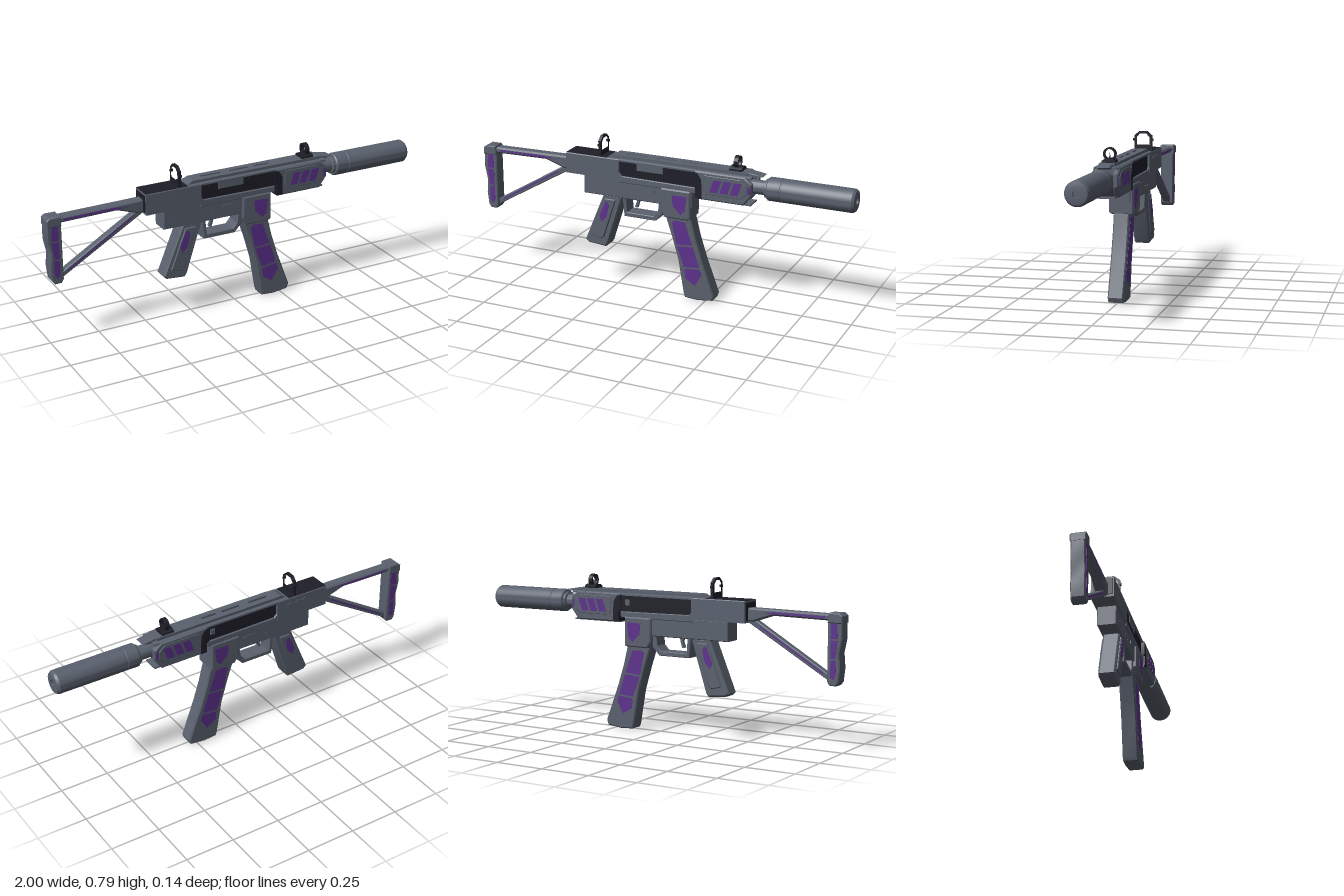
import * as THREE from 'three';
import { toCreasedNormals } from 'three/addons/utils/BufferGeometryUtils.js';

const material = (name, color) => Object.assign(new THREE.MeshStandardMaterial({ color }), { name });

export function createModel() {
  const model = new THREE.Group();
  model.name = 'model';
  const grey = material('slate grey', 0x5a616e);
  const dark = material('near black', 0x1e1e28);
  const purple = material('purple', 0x5e318e);

  const add = (name, geometry, mat, x = 0, y = 0, z = 0) => {
    const mesh = new THREE.Mesh(geometry, mat);
    mesh.name = name;
    mesh.position.set(x, y, z);
    model.add(mesh);
    return mesh;
  };
  const outline = (pts, holes = []) => {
    const vectors = (list) => list.map(([x, y]) => new THREE.Vector2(x, y));
    const shape = new THREE.Shape(vectors(pts));
    holes.forEach((h) => shape.holes.push(new THREE.Path(vectors(h))));
    return shape;
  };
  // Extrusion of a shape, centred on its own depth, with a small chamfer
  const extrude = (shape, depth, bevel = 0) => {
    const g = new THREE.ExtrudeGeometry(shape, {
      depth: depth - 2 * bevel, bevelEnabled: bevel > 0, bevelSize: bevel,
      bevelOffset: -bevel, bevelThickness: bevel, bevelSegments: 1, curveSegments: 24,
    });
    g.translate(0, 0, bevel - depth / 2);
    return toCreasedNormals(g, 0.5);
  };
  // Side profile, symmetric about z = 0
  const slab = (name, pts, half, mat, bevel = 0, holes = []) =>
    add(name, extrude(outline(pts, holes), half * 2, bevel), mat);
  // Plate on one side (s = 1 front, -1 back), or the same plate on both
  const sidePlate = (name, pts, z, thick, mat, s, bevel = 0) =>
    add(name, extrude(outline(pts), thick, bevel), mat, 0, 0, s * (z - thick / 2));
  const sidePlates = (name, pts, z, thick, mat, bevel = 0) => {
    sidePlate(name + 'Front', pts, z, thick, mat, 1, bevel);
    sidePlate(name + 'Back', pts, z, thick, mat, -1, bevel);
  };
  // Cross-section given as half outline [z, y] from bottom to top, run along x
  const run = (name, half, x0, x1, mat) => {
    const pts = [...half, ...half.slice().reverse().map(([z, y]) => [-z, y])];
    return add(name, extrude(outline(pts), x1 - x0).rotateY(Math.PI / 2), mat, (x0 + x1) / 2);
  };
  const box = (name, x0, x1, y0, y1, z0, z1, mat) =>
    add(name, new THREE.BoxGeometry(x1 - x0, y1 - y0, z1 - z0), mat, (x0 + x1) / 2, (y0 + y1) / 2, (z0 + z1) / 2);
  const lathe = (name, profile, mat) => {
    const g = new THREE.LatheGeometry(profile.map(([r, x]) => new THREE.Vector2(r, x)), 40);
    return add(name, toCreasedNormals(g, 0.5).rotateZ(-Math.PI / 2), mat, 0, 0.632, 0);
  };

  // Shoulder stock: butt, top tube and diagonal strut
  slab('buttPlate', [[-0.997, 0.64], [-0.98, 0.655], [-0.935, 0.658], [-0.927, 0.645], [-0.927, 0.335],
    [-0.938, 0.318], [-0.972, 0.317], [-0.985, 0.335], [-0.992, 0.40], [-0.986, 0.47], [-1, 0.54]], 0.034, grey, 0.005);
  slab('buttCap', [[-1, 0.61], [-1, 0.645], [-0.985, 0.657], [-0.93, 0.657], [-0.927, 0.61]], 0.038, grey, 0.004);
  const buttPanels = [
    [[-0.976, 0.605], [-0.958, 0.62], [-0.944, 0.608], [-0.944, 0.538], [-0.98, 0.538]],
    [[-0.98, 0.53], [-0.944, 0.53], [-0.944, 0.443], [-0.97, 0.448]],
    [[-0.97, 0.44], [-0.944, 0.435], [-0.944, 0.36], [-0.96, 0.345], [-0.973, 0.37]],
  ];
  buttPanels.forEach((p, i) => sidePlates('buttInlay' + i, p, 0.035, 0.005, purple));
  slab('stockTube', [[-0.94, 0.62], [-0.94, 0.65], [-0.49, 0.656], [-0.49, 0.59], [-0.535, 0.59], [-0.64, 0.625]], 0.028, grey, 0.008);
  sidePlates('tubeInlay', [[-0.91, 0.631], [-0.91, 0.640], [-0.64, 0.643], [-0.58, 0.630], [-0.62, 0.633]], 0.029, 0.005, purple);
  slab('stockStrut', [[-0.945, 0.328], [-0.945, 0.358], [-0.54, 0.60], [-0.50, 0.60], [-0.50, 0.588]], 0.019, grey, 0.004);
  sidePlates('strutInlay', [[-0.90, 0.367], [-0.90, 0.375], [-0.57, 0.572], [-0.57, 0.564]], 0.020, 0.005, purple);

  // Upper receiver: rear housing, dark bolt channel, sill and roof
  run('rearHousing', [[0.057, 0.583], [0.057, 0.686], [0.054, 0.69]], -0.505, -0.21, grey);
  box('rearTopPlate', -0.504, -0.28, 0.685, 0.691, -0.054, 0.054, dark);
  box('rearEndPlate', -0.509, -0.503, 0.595, 0.68, -0.048, 0.048, dark);
  run('boltChannel', [[0.046, 0.575], [0.046, 0.685]], -0.22, 0.44, dark);
  slab('receiverSill', [[-0.215, 0.57], [-0.215, 0.625], [-0.195, 0.604], [0.2, 0.600], [0.2, 0.57]], 0.055, grey, 0.003);
  run('receiverRoof', [[0.056, 0.68], [0.056, 0.688], [0.05, 0.692]], -0.215, 0.49, grey);
  slab('roofRearRamp', [[-0.275, 0.688], [-0.245, 0.706], [-0.2, 0.706], [-0.2, 0.688]], 0.036, grey);
  slab('roofNose', [[0.46, 0.706], [0.50, 0.701], [0.54, 0.694], [0.50, 0.682], [0.46, 0.68]], 0.03, grey, 0.003);

  // Roof rail with purple strips deep in its slots
  const slots = [[-0.185, -0.075], [-0.025, 0.08], [0.11, 0.195]];
  const rail = outline([[-0.21, -0.038], [0.465, -0.038], [0.465, 0.038], [-0.21, 0.038]],
    slots.map(([a, b]) => [[a, -0.007], [b, -0.007], [b, 0.007], [a, 0.007]]));
  add('roofRail', extrude(rail, 0.015).rotateX(Math.PI / 2), grey, 0, 0.6985, 0);
  for (const [a, b] of slots) box('roofInlay', a, b, 0.688, 0.694, -0.007, 0.007, purple);

  // Side details of the receiver
  sidePlate('ejectionCover', [[-0.115, 0.643], [-0.115, 0.68], [0.025, 0.68], [0.025, 0.643]], 0.05, 0.008, grey, 1);
  sidePlate('boltKnob', [[0.15, 0.63], [0.15, 0.66], [0.175, 0.66], [0.175, 0.63]], 0.052, 0.009, grey, -1, 0.002);
  for (let i = 0; i < 3; i++) {
    const x = -0.38 + i * 0.042;
    sidePlates('vent' + i, [[x, 0.665], [x + 0.03, 0.645], [x + 0.034, 0.65], [x + 0.006, 0.67]], 0.0585, 0.004, grey);
  }

  // Handguard shells with raised frames and inlays
  const guard = [[0.20, 0.69], [0.455, 0.69], [0.495, 0.66], [0.495, 0.60], [0.455, 0.548], [0.215, 0.548],
    [0.215, 0.59], [0.20, 0.62]];
  sidePlates('handguardShell', guard, 0.064, 0.028, grey, 0.006);
  sidePlates('handguardRearRib', [[0.192, 0.682], [0.215, 0.68], [0.236, 0.65], [0.24, 0.552], [0.205, 0.552],
    [0.205, 0.605], [0.192, 0.61]], 0.065, 0.006, dark);
  sidePlates('handguardFrame', [[0.25, 0.675], [0.44, 0.675], [0.472, 0.645], [0.472, 0.605], [0.44, 0.58],
    [0.262, 0.58], [0.25, 0.60]], 0.067, 0.008, grey, 0.002);
  for (let i = 0; i < 3; i++) {
    const x = 0.28 + i * 0.053;
    sidePlates('handguardInlay' + i, [[x, 0.594], [x + 0.022, 0.657], [x + 0.062, 0.657], [x + 0.04, 0.594]], 0.068, 0.005, purple);
  }
  sidePlates('handguardTipInlay', [[0.475, 0.605], [0.475, 0.65], [0.488, 0.643], [0.488, 0.61]], 0.065, 0.004, purple);
  run('handguardCore', [[0.04, 0.549], [0.045, 0.56], [0.045, 0.69]], 0.21, 0.45, dark);
  box('handguardFloor', 0.215, 0.485, 0.543, 0.55, -0.042, 0.042, grey);
  box('barrelBlock', 0.44, 0.462, 0.60, 0.685, -0.04, 0.04, grey);

  // Barrel and suppressor
  lathe('barrel', [[0, 0.44], [0.035, 0.44], [0.035, 0.545], [0.046, 0.55], [0.046, 0.57], [0, 0.57]], grey);
  lathe('suppressor', [[0, 0.562], [0.053, 0.562], [0.058, 0.568], [0.058, 0.63], [0.056, 0.632], [0.056, 0.636],
    [0.058, 0.638], [0.058, 0.985], [0.05, 0.997], [0.036, 1], [0.017, 1], [0.017, 0.985], [0, 0.985]], grey);

  // Lower receiver, trigger guard and trigger
  slab('lowerReceiver', [[-0.41, 0.486], [-0.41, 0.585], [0.18, 0.585], [0.18, 0.486]], 0.048, grey, 0.004);
  slab('triggerGuard', [[-0.20, 0.495], [-0.19, 0.390], [-0.018, 0.390], [0.02, 0.43], [0.03, 0.495]], 0.04, grey, 0.003,
    [[[-0.18, 0.488], [-0.175, 0.412], [-0.03, 0.412], [-0.006, 0.438], [0, 0.488]]]);
  slab('trigger', [[-0.145, 0.495], [-0.135, 0.465], [-0.147, 0.435], [-0.132, 0.432], [-0.122, 0.465], [-0.118, 0.495]], 0.008, grey);
  sidePlates('selector', [[-0.09, 0.535], [-0.09, 0.552], [-0.02, 0.552], [-0.02, 0.535]], 0.051, 0.007, grey);
  for (const x of [-0.36, -0.21, -0.15]) {
    const pin = add('pin', new THREE.CylinderGeometry(0.005, 0.005, 0.1, 12), grey, x, 0.525, 0);
    pin.rotation.x = Math.PI / 2;
  }

  // Pistol grip
  slab('grip', [[-0.305, 0.49], [-0.20, 0.49], [-0.285, 0.225], [-0.297, 0.208], [-0.395, 0.216], [-0.412, 0.232]], 0.041, grey, 0.007);
  sidePlates('gripPanel', [[-0.295, 0.47], [-0.235, 0.47], [-0.303, 0.262], [-0.32, 0.25], [-0.375, 0.262]], 0.049, 0.012, grey, 0.004);
  sidePlates('gripInlay', [[-0.288, 0.460], [-0.270, 0.438], [-0.285, 0.376], [-0.313, 0.345], [-0.326, 0.378]], 0.050, 0.005, purple);

  // Magazine well and curved magazine
  slab('magazineWell', [[0.018, 0.575], [0.175, 0.575], [0.175, 0.43], [0.16, 0.425], [0.04, 0.425], [0.018, 0.46]], 0.061, grey, 0.006);
  sidePlates('wellInlay', [[0.079, 0.547], [0.158, 0.547], [0.149, 0.472], [0.126, 0.450], [0.085, 0.492]], 0.062, 0.005, purple);
  slab('magazine', [[0.03, 0.44], [0.168, 0.44], [0.195, 0.33], [0.23, 0.22], [0.299, 0.035], [0.29, 0.01],
    [0.21, 0], [0.142, 0.005], [0.135, 0.025], [0.105, 0.2], [0.07, 0.32]], 0.039, grey, 0.006);
  const magazinePanels = [
    [[0.072, 0.397], [0.088, 0.409], [0.14, 0.405], [0.181, 0.290], [0.096, 0.283]],
    [[0.099, 0.274], [0.185, 0.281], [0.219, 0.177], [0.138, 0.169]],
    [[0.14, 0.16], [0.222, 0.168], [0.233, 0.14], [0.197, 0.077], [0.145, 0.11]],
  ];
  magazinePanels.forEach((p, i) => sidePlates('magazineInlay' + i, p, 0.04, 0.005, purple));

  // Rear sight: octagonal frame
  const frame = outline(
    [[-0.046, 0.688], [-0.046, 0.768], [-0.02, 0.79], [0.02, 0.79], [0.046, 0.768], [0.046, 0.688]],
    [[[-0.033, 0.72], [-0.033, 0.76], [-0.016, 0.778], [0.016, 0.778], [0.033, 0.76], [0.033, 0.72]]]);
  add('rearSight', extrude(frame, 0.014).rotateY(Math.PI / 2), dark, -0.32);
  for (const z of [-0.048, 0.048]) box('rearSightPivot', -0.328, -0.312, 0.74, 0.752, z - 0.004, z + 0.004, dark);

  // Front sight: base, round hood and post
  run('frontSightBase', [[0.032, 0.703], [0.032, 0.715], [0.018, 0.724]], 0.368, 0.432, dark);
  const hood = new THREE.Shape().absarc(0, 0, 0.031, 0, Math.PI * 2);
  hood.holes.push(new THREE.Path().absarc(0, 0, 0.023, 0, Math.PI * 2));
  add('frontSightHood', extrude(hood, 0.022).rotateY(Math.PI / 2), dark, 0.4, 0.745, 0);
  add('frontSightPost', new THREE.CylinderGeometry(0.001, 0.004, 0.03, 8), dark, 0.4, 0.735, 0);

  return model;
}
